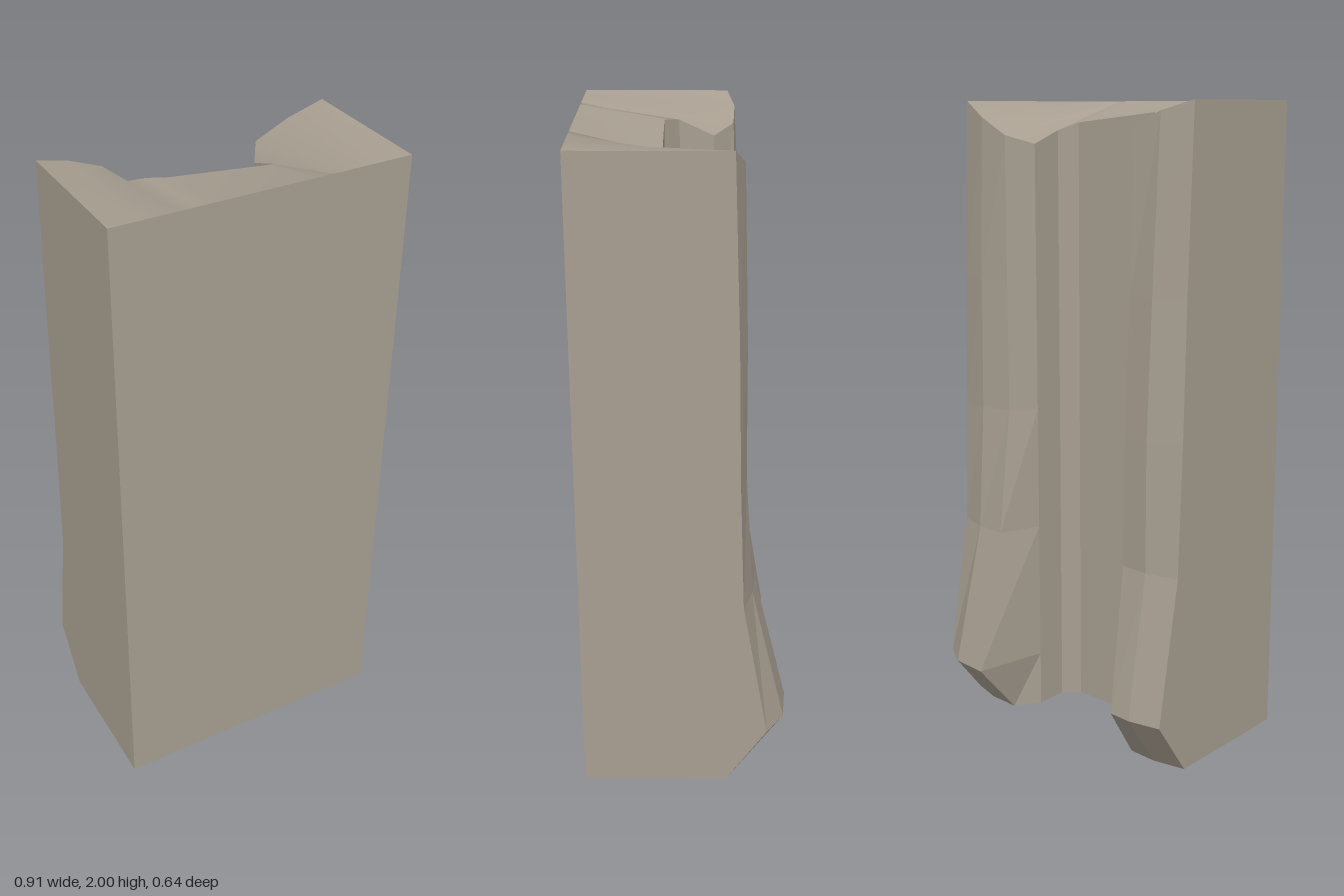
import * as THREE from 'three';

// Heights of the cross-sections
const LEVELS = [0, 0.18, 0.63, 1.03, 1.45, 2];
const FRONT = 0.32;
const EDGE = [-0.13, -0.255, -0.175, -0.16, -0.15, -0.13];

// Columns around the back, from -x to +x: x, z (one value or one per level),
// how far the worn top dips, and the outward bulge in x at the foot
const COLUMNS = [
  { x: -0.453, z: EDGE, dip: 0 },
  { x: -0.35, z: [-0.15, -0.275, -0.2, -0.2, -0.18, -0.15], dip: 0.03 },
  { x: -0.255, z: [-0.145, -0.27, -0.19, -0.185, -0.165, -0.145], dip: 0.065, bulge: -0.02 },
  { x: -0.21, z: -0.085, dip: 0.095 },
  { x: -0.2, z: 0.02, dip: 0.045 },
  { x: -0.153, z: 0.065, dip: 0.035 },
  { x: 0.153, z: 0.065, dip: 0.066 },
  { x: 0.2, z: 0.02, dip: 0.09 },
  { x: 0.2, z: -0.085, dip: 0.13 },
  { x: 0.25, z: [-0.165, -0.322, -0.215, -0.165, -0.165, -0.165], dip: 0.103, bulge: -0.005 },
  { x: 0.355, z: [-0.16, -0.311, -0.205, -0.18, -0.175, -0.16], dip: 0.05, bulge: 0.012 },
  { x: 0.453, z: EDGE, dip: 0 },
];

function columnPoint(c, level) {
  const top = level === LEVELS.length - 1;
  return [
    c.x + (level === 1 ? c.bulge || 0 : 0),
    LEVELS[level] - (top ? c.dip : 0),
    Array.isArray(c.z) ? c.z[level] : c.z,
  ];
}

function toGeometry(points, index) {
  const g = new THREE.BufferGeometry();
  g.setAttribute('position', new THREE.Float32BufferAttribute(points.flat(), 3));
  g.setIndex(index);
  return g;
}

// Closed rings joined into walls with hard facets
function wallGeometry() {
  const points = [], index = [];
  const n = COLUMNS.length + 2;
  LEVELS.forEach((y, level) => {
    points.push([-0.453, y, FRONT]);
    COLUMNS.forEach((c) => points.push(columnPoint(c, level)));
    points.push([0.453, y, FRONT]);
  });
  for (let l = 0; l < LEVELS.length - 1; l++) {
    for (let i = 0; i < n; i++) {
      const a = l * n + i, b = l * n + ((i + 1) % n);
      index.push(b, a, a + n, b, a + n, b + n);
    }
  }
  const g = toGeometry(points, index).toNonIndexed();
  g.computeVertexNormals();
  return g;
}

// Strip from the straight front edge to the notched back edge
function capGeometry(level) {
  const points = [], index = [];
  const up = level > 0;
  COLUMNS.forEach((c, i) => {
    points.push([c.x, LEVELS[level], FRONT], columnPoint(c, level));
    if (i === 0) return;
    const f0 = 2 * i - 2, b0 = f0 + 1, f1 = f0 + 2, b1 = f0 + 3;
    if (up) index.push(f0, f1, b1, f0, b1, b0);
    else index.push(f0, b1, f1, f0, b0, b1);
  });
  const g = toGeometry(points, index);
  g.computeVertexNormals();
  return g;
}

export function createModel() {
  const group = new THREE.Group();
  group.name = 'channelledStoneBlock';
  const stone = new THREE.MeshStandardMaterial({ color: 0xa89f91 });
  stone.name = 'warm grey stone';

  const add = (name, geometry) => {
    const mesh = new THREE.Mesh(geometry, stone);
    mesh.name = name;
    group.add(mesh);
  };
  add('blockWalls', wallGeometry());
  add('wornTop', capGeometry(LEVELS.length - 1));
  add('flatBase', capGeometry(0));
  return group;
}
